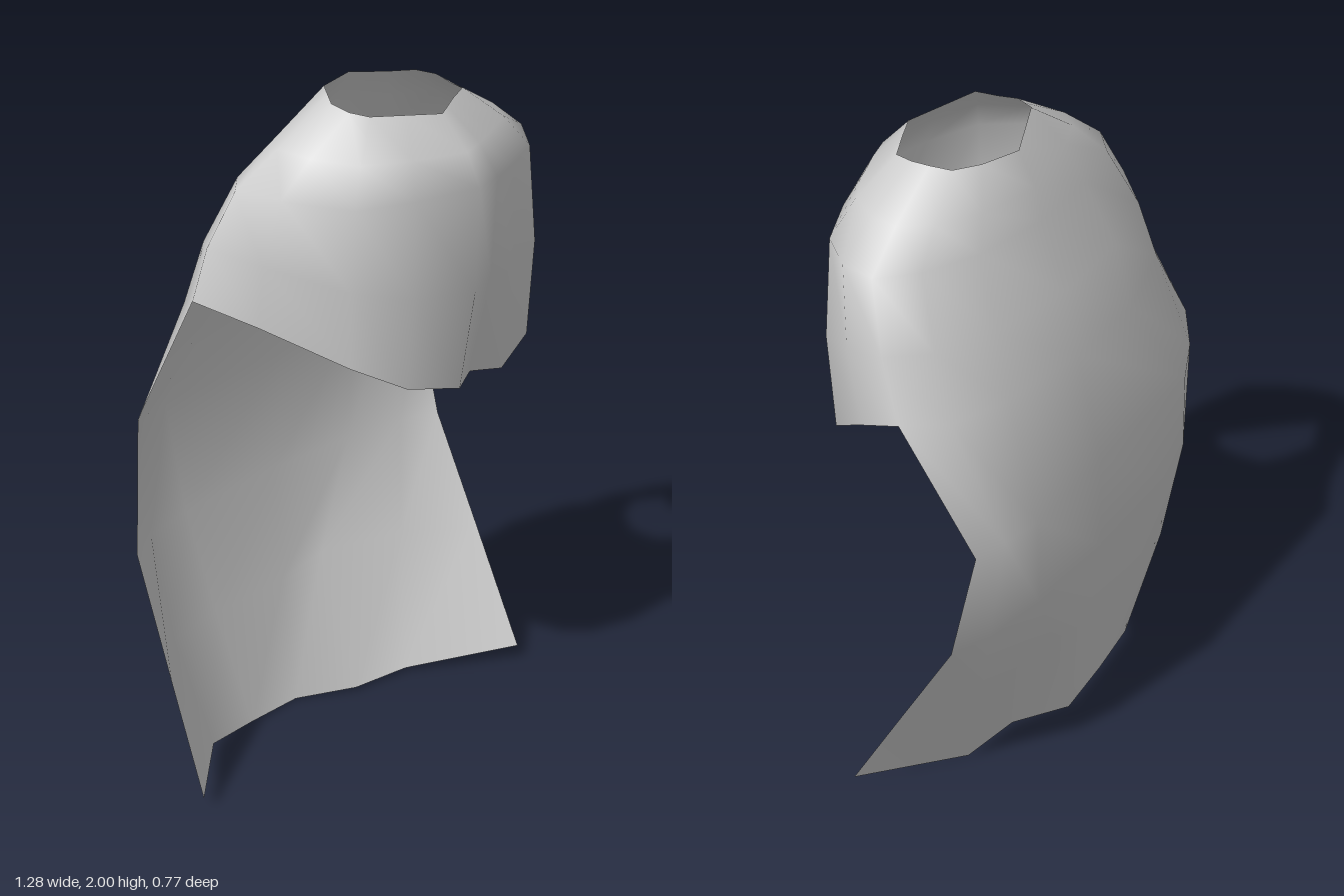
import * as THREE from 'three';

const v = (a) => a.map((p) => new THREE.Vector3(...p));

// Cross-sections run from the right edge, round the back to the left edge, then across the chest.
const neck = v([
  [-0.10, 1.98, 0.07], [-0.08, 1.99, 0.03], [-0.06, 2.0, -0.01], [0.10, 1.98, -0.10], [0.20, 1.97, -0.06],
  [0.27, 1.97, -0.02], [0.29, 1.97, 0.04], [0.29, 1.96, 0.10], [0.29, 1.96, 0.15], [0.21, 1.96, 0.20],
  [0.17, 1.955, 0.225], [0.13, 1.95, 0.25], [0.03, 1.96, 0.22], [-0.07, 1.97, 0.19], [-0.09, 1.97, 0.13],
]);
const shoulder = v([
  [-0.37, 1.78, 0], [-0.30, 1.78, -0.08], [-0.14, 1.78, -0.13], [0.08, 1.78, -0.16], [0.30, 1.78, -0.14],
  [0.46, 1.78, -0.08], [0.56, 1.78, 0], [0.56, 1.78, 0.10], [0.48, 1.77, 0.22], [0.34, 1.77, 0.30],
  [0.25, 1.77, 0.34], [0.16, 1.77, 0.37], [-0.04, 1.77, 0.34], [-0.20, 1.77, 0.29], [-0.32, 1.78, 0.13],
]);
const mantleHem = v([
  [-0.48, 1.48, -0.05], [-0.42, 1.42, -0.17], [-0.20, 1.40, -0.25], [0.07, 1.40, -0.28], [0.34, 1.40, -0.27],
  [0.52, 1.40, -0.22], [0.62, 1.41, -0.13], [0.59, 1.32, 0.03], [0.51, 1.19, 0.20], [0.34, 1.16, 0.28],
  [0.23, 1.18, 0.27], [0.12, 1.19, 0.35], [-0.05, 1.23, 0.33], [-0.21, 1.32, 0.28], [-0.37, 1.42, 0.09],
]);
const capeBack = v([
  [-0.60, 1.13, -0.15], [-0.53, 1.08, -0.22], [-0.40, 1.07, -0.30], [0.05, 1.07, -0.35],
  [0.37, 1.07, -0.39], [0.49, 1.07, -0.375], [0.59, 1.07, -0.36],
]);
const capeLow = v([
  [-0.64, 0.74, -0.12], [-0.52, 0.72, -0.22], [-0.36, 0.72, -0.27], [0, 0.72, -0.32],
  [0.30, 0.72, -0.34], [0.50, 0.72, -0.33], [0.62, 0.72, -0.295],
]);
const capeFold = v([
  [-0.625, 0.38, 0.005], [-0.48, 0.38, -0.18], [-0.29, 0.38, -0.23], [-0.02, 0.38, -0.26],
  [0.13, 0.42, -0.26], [0.42, 0.40, -0.23], [0.63, 0.40, -0.12],
]);
const capeHem = v([
  [-0.61, 0.05, 0.12], [-0.39, 0.02, -0.125], [-0.22, 0.01, -0.16], [-0.03, 0, -0.19],
  [0.14, 0.01, -0.11], [0.33, 0.01, -0.10], [0.64, 0.05, 0.07],
]);

// Skin a surface over rows of points.
function skin(rows, closed) {
  const n = rows[0].length, index = [];
  for (let j = 0; j < rows.length - 1; j++) {
    for (let i = 0; i < (closed ? n : n - 1); i++) {
      const k = (i + 1) % n, a = j * n + i, b = j * n + k;
      index.push(a, b, a + n, b, b + n, a + n);
    }
  }
  const g = new THREE.BufferGeometry().setFromPoints(rows.flat());
  g.setIndex(index);
  g.computeVertexNormals();
  return g;
}

// Halfway row between two rows, swollen outwards from the mantle's axis.
const midRow = (from, to, swell) => from.map((p, i) => {
  const r = p.clone().lerp(to[i], 0.5);
  const out = new THREE.Vector3(r.x - 0.1, 0, r.z - 0.05).normalize();
  return r.addScaledVector(out, swell);
});

// Give two surfaces the same normals along a shared row.
function weld(a, startA, b, startB, count) {
  const na = a.attributes.normal, nb = b.attributes.normal;
  const p = new THREE.Vector3(), q = new THREE.Vector3();
  for (let i = 0; i < count; i++) {
    p.fromBufferAttribute(na, startA + i).add(q.fromBufferAttribute(nb, startB + i)).normalize();
    na.setXYZ(startA + i, p.x, p.y, p.z);
    nb.setXYZ(startB + i, p.x, p.y, p.z);
  }
}

export function createModel() {
  const group = new THREE.Group();
  const material = new THREE.MeshStandardMaterial({ color: 0xcccccc, side: THREE.DoubleSide });
  const add = (name, geometry) => {
    const mesh = new THREE.Mesh(geometry, material);
    mesh.name = name;
    group.add(mesh);
  };

  // Shoulder mantle with an open neck, sloping shoulders and a creased front hem
  const mantleRows = [neck, midRow(neck, shoulder, 0.02), shoulder, midRow(shoulder, mantleHem, 0.02), mantleHem];
  const mantle = skin(mantleRows, true);

  // Long cape hanging from the back of the mantle, with pleats in its lower hem
  const cape = skin([mantleHem.slice(0, 7), capeBack, capeLow, capeFold, capeHem], false);
  weld(mantle, 4 * neck.length, cape, 0, 7);
  add('mantle', mantle);
  add('cape', cape);

  return group;
}
